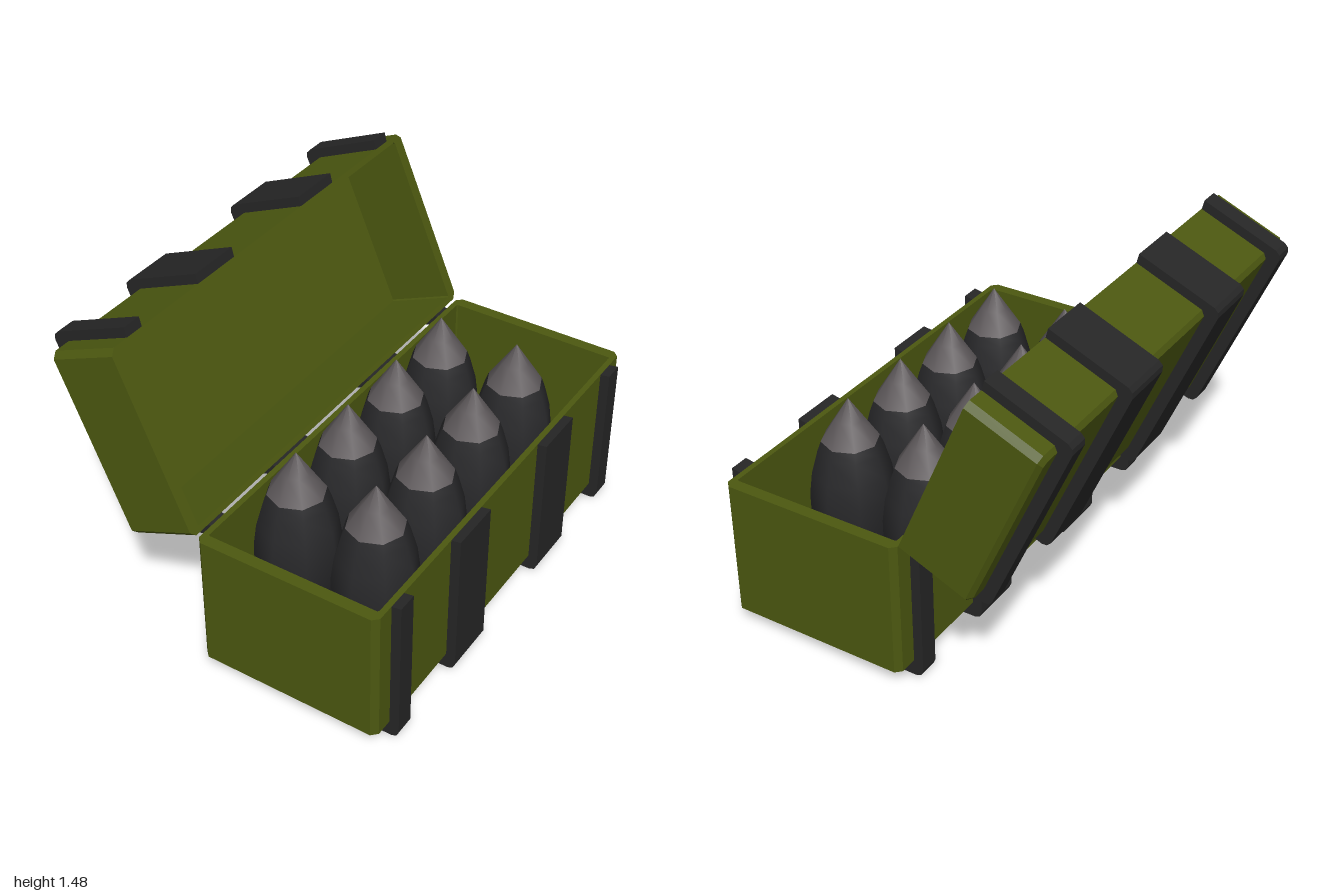
import * as THREE from 'three';

const olive = new THREE.MeshStandardMaterial({ color: 0x4c5810 });
olive.name = 'olive green';
const strapBlack = new THREE.MeshStandardMaterial({ color: 0x262626 });
strapBlack.name = 'strap black';
const shellGrey = new THREE.MeshStandardMaterial({ color: 0x29292b });
shellGrey.name = 'shell dark grey';
const tipGrey = new THREE.MeshStandardMaterial({ color: 0x5f5a5c });
tipGrey.name = 'tip grey';

const HALF_W = 0.41;

function addMesh(parent, name, geometry, material) {
  const mesh = new THREE.Mesh(geometry, material);
  mesh.name = name;
  parent.add(mesh);
  return mesh;
}

// Rectangle with cut corners, counter-clockwise seen from above
function ring(hx, hz, y, c) {
  return [
    [hx, hz - c], [hx, c - hz], [hx - c, -hz], [c - hx, -hz],
    [-hx, c - hz], [-hx, hz - c], [c - hx, hz], [hx - c, hz],
  ].map(([x, z]) => [x, y, z]);
}

// Hollow open-topped tray with bevelled edges, standing on y = 0
function trayGeometry(height) {
  const rings = [
    ring(HALF_W - 0.02, 0.98, 0, 0.02),
    ring(HALF_W, 1, 0.02, 0.025),
    ring(HALF_W, 1, height, 0.025),
    ring(HALF_W - 0.025, 0.948, height, 0.006),
    ring(HALF_W - 0.025, 0.948, 0.02, 0.006),
  ];
  const out = [];
  const tri = (a, b, c) => out.push(...a, ...b, ...c);
  for (let r = 0; r < rings.length - 1; r++) {
    const a = rings[r], b = rings[r + 1];
    for (let i = 0; i < 8; i++) {
      const j = (i + 1) % 8;
      tri(a[i], a[j], b[j]);
      tri(a[i], b[j], b[i]);
    }
  }
  const bottom = rings[0], floor = rings[4];
  for (let i = 1; i < 7; i++) {
    tri(bottom[0], bottom[i + 1], bottom[i]);
    tri(floor[0], floor[i], floor[i + 1]);
  }
  const g = new THREE.BufferGeometry();
  g.setAttribute('position', new THREE.Float32BufferAttribute(out, 3));
  g.computeVertexNormals();
  return g;
}

// U-shaped band hugging a tray; the tray's underside lies at y = 0
function strapGeometry(height, width) {
  const o = HALF_W + 0.042, i = HALF_W - 0.012, low = -0.052, c = 0.032;
  const right = [[i, 0.01], [i, height - 0.003], [o, height + 0.006], [o, low + c], [o - 0.01, low + 0.01], [o - c, low]];
  const left = right.map(([x, y]) => [-x, y]).reverse();
  const shape = new THREE.Shape([...right, ...left].map(([x, y]) => new THREE.Vector2(x, y)));
  const g = new THREE.ExtrudeGeometry(shape, { depth: width, bevelEnabled: false });
  return g.translate(0, 0, -width / 2);
}

function trayWithStraps(name, height) {
  const group = new THREE.Group();
  group.name = name;
  addMesh(group, name + 'Shell', trayGeometry(height), olive);
  for (const [z, width] of [[0.855, 0.087], [0.35, 0.234], [-0.35, 0.234], [-0.855, 0.087]]) {
    addMesh(group, name + 'Strap', strapGeometry(height, width), strapBlack).position.z = z;
  }
  return group;
}

function lathe(points) {
  return new THREE.LatheGeometry(points.map(([r, y]) => new THREE.Vector2(r, y)), 8);
}

export function createModel() {
  const model = new THREE.Group();
  model.name = 'ammunitionCrate';

  // Lower box
  const box = trayWithStraps('box', 0.63);
  box.position.set(0.33, 0.055, 0);
  model.add(box);

  // Lid, turned over and swung open about the hinge edge
  const lidHeight = 0.342;
  const hinge = new THREE.Group();
  hinge.name = 'lidHinge';
  hinge.position.set(-0.092, 0.688, 0);
  hinge.rotation.z = THREE.MathUtils.degToRad(113.2);
  const lid = trayWithStraps('lid', lidHeight);
  lid.position.set(HALF_W, lidHeight, 0);
  lid.rotation.x = Math.PI;
  hinge.add(lid);
  model.add(hinge);

  // Two rows of four pointed shells
  const bodyGeometry = lathe([[0, 0.08], [0.18, 0.08], [0.18, 0.48], [0.167, 0.58], [0.138, 0.685], [0.122, 0.728]]);
  const tipGeometry = lathe([[0.122, 0.728], [0.06, 0.826], [0, 0.92]]);
  for (const x of [0.108, 0.475]) {
    for (let k = 0; k < 4; k++) {
      const shell = new THREE.Group();
      shell.name = 'shell';
      shell.position.set(x, 0, -0.515 + k * 0.367);
      addMesh(shell, 'shellBody', bodyGeometry, shellGrey);
      addMesh(shell, 'shellTip', tipGeometry, tipGrey);
      model.add(shell);
    }
  }
  return model;
}
